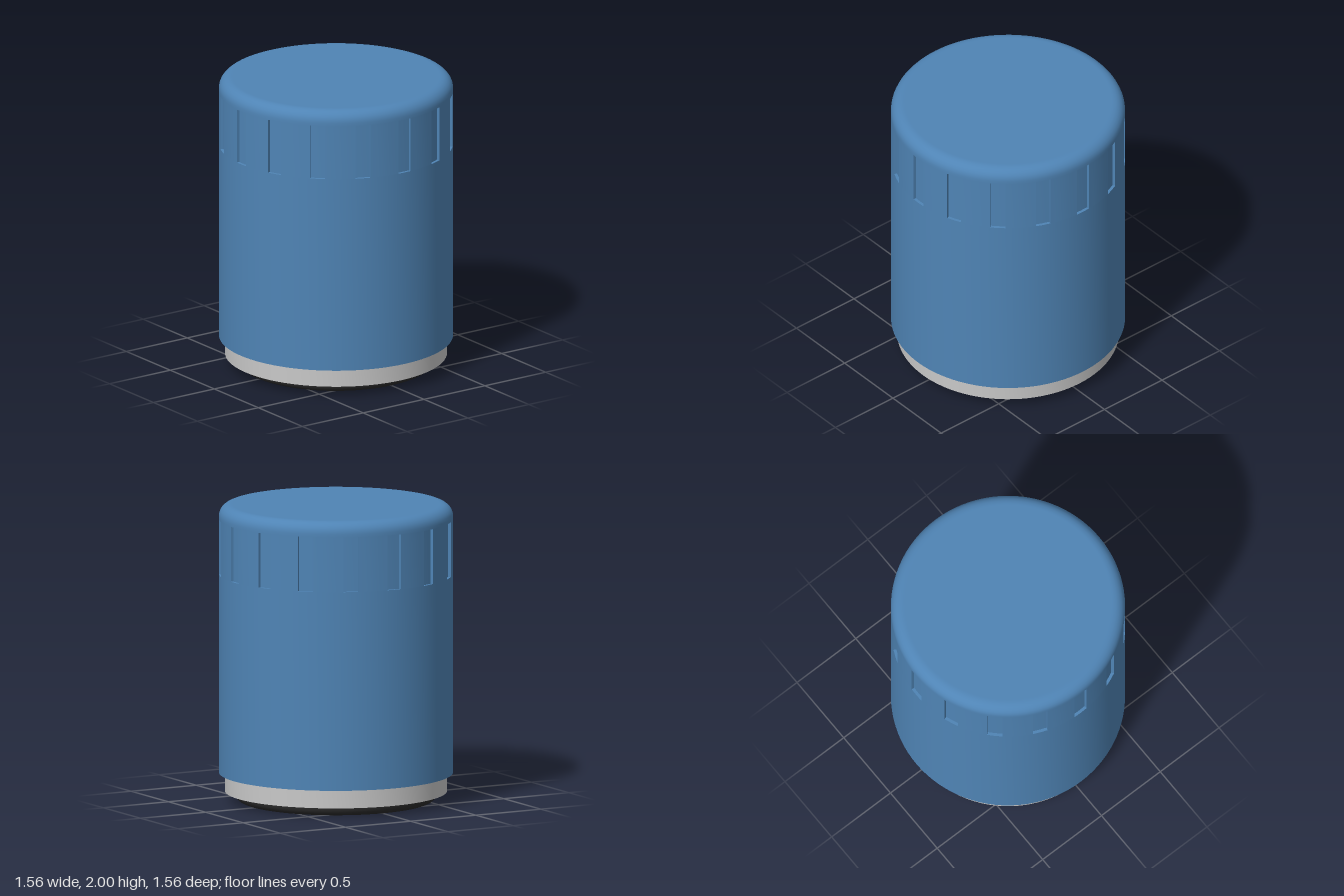
import * as THREE from 'three';
import { toCreasedNormals } from 'three/addons/utils/BufferGeometryUtils.js';

const SEGMENTS = 96;
const R = 0.78;            // can radius
const FLUTE_DEPTH = 0.02;
const FLUTE_LOW = 1.53, FLUTE_HIGH = 1.9;

const mat = (name, color) => {
  const m = new THREE.MeshStandardMaterial({ color });
  m.name = name;
  return m;
};

const mesh = (name, geometry, material) => {
  const m = new THREE.Mesh(toCreasedNormals(geometry, 0.5), material);
  m.name = name;
  return m;
};

// Revolves a profile of [radius, height] pairs
const lathe = (pairs) =>
  new THREE.LatheGeometry(pairs.map(([r, y]) => new THREE.Vector2(r, y)), SEGMENTS);

// Extrudes a plan shape upwards from y0 to y1
const slab = (shape, y0, y1) =>
  new THREE.ExtrudeGeometry(shape, { depth: y1 - y0, bevelEnabled: false, curveSegments: 48 })
    .rotateX(-Math.PI / 2).translate(0, y0, 0);

// Points of a rounded corner between two angles in degrees
const corner = (cx, cy, radius, from, to, steps = 6) =>
  Array.from({ length: steps + 1 }, (_, i) => {
    const a = THREE.MathUtils.degToRad(from + (to - from) * i / steps);
    return [cx + radius * Math.cos(a), cy + radius * Math.sin(a)];
  });

// Circle with sixteen shallow notches, one for every six segments
function flutedOutline() {
  const points = [];
  const add = (k, r) => {
    const a = k / SEGMENTS * Math.PI * 2;
    points.push(new THREE.Vector2(r * Math.cos(a), r * Math.sin(a)));
  };
  for (let k = 0; k < SEGMENTS; k++) {
    const step = k % 6;
    if (step === 5) add(k, R);
    add(k, step === 0 || step === 1 || step === 5 ? R - FLUTE_DEPTH : R);
    if (step === 1) add(k, R);
  }
  return new THREE.Shape(points);
}

export function createModel() {
  const blue = mat('blue paint', 0x4f84b5);
  const steel = mat('light grey steel', 0xc8c8c8);
  const rubber = mat('black rubber', 0x2b2b2b);
  const model = new THREE.Group();
  model.name = 'canister filter';

  // Can: plain lower wall, fluted grip band and rounded cap
  const can = new THREE.Group();
  can.name = 'can';
  can.add(
    mesh('canWall', lathe([[0, 0.19], [R, 0.19], [R, FLUTE_LOW], [0, FLUTE_LOW]]), blue),
    mesh('flutedGrip', slab(flutedOutline(), FLUTE_LOW, FLUTE_HIGH), blue),
    mesh('roundedCap', lathe([
      [0, FLUTE_HIGH], [R, FLUTE_HIGH],
      ...corner(R - 0.08, 1.92, 0.08, 0, 90),
      [R - 0.09, 2], [0, 2],
    ]), blue),
  );
  model.add(can);

  // Base plate with a centre bore and eight inlet holes
  const plate = new THREE.Shape().absarc(0, 0, 0.74, 0, Math.PI * 2, false);
  plate.holes.push(new THREE.Path().absarc(0, 0, 0.205, 0, Math.PI * 2, true));
  for (let i = 0; i < 8; i++) {
    const a = i * Math.PI / 4;
    plate.holes.push(new THREE.Path().absarc(
      0.434 * Math.cos(a), 0.434 * Math.sin(a), 0.068, 0, Math.PI * 2, true));
  }
  model.add(mesh('basePlate', slab(plate, 0.065, 0.19), steel));

  // Collar around the centre bore
  model.add(mesh('boreCollar',
    lathe([[0.205, 0.07], [0.205, 0.012], [0.257, 0.012], [0.257, 0.07]]), steel));

  // Sealing ring with rounded lower edges
  model.add(mesh('gasket', lathe([
    [0.565, 0.067],
    ...corner(0.615, 0.05, 0.05, 180, 270),
    ...corner(0.62, 0.05, 0.05, 270, 360),
    [0.67, 0.067],
  ]), rubber));

  return model;
}
